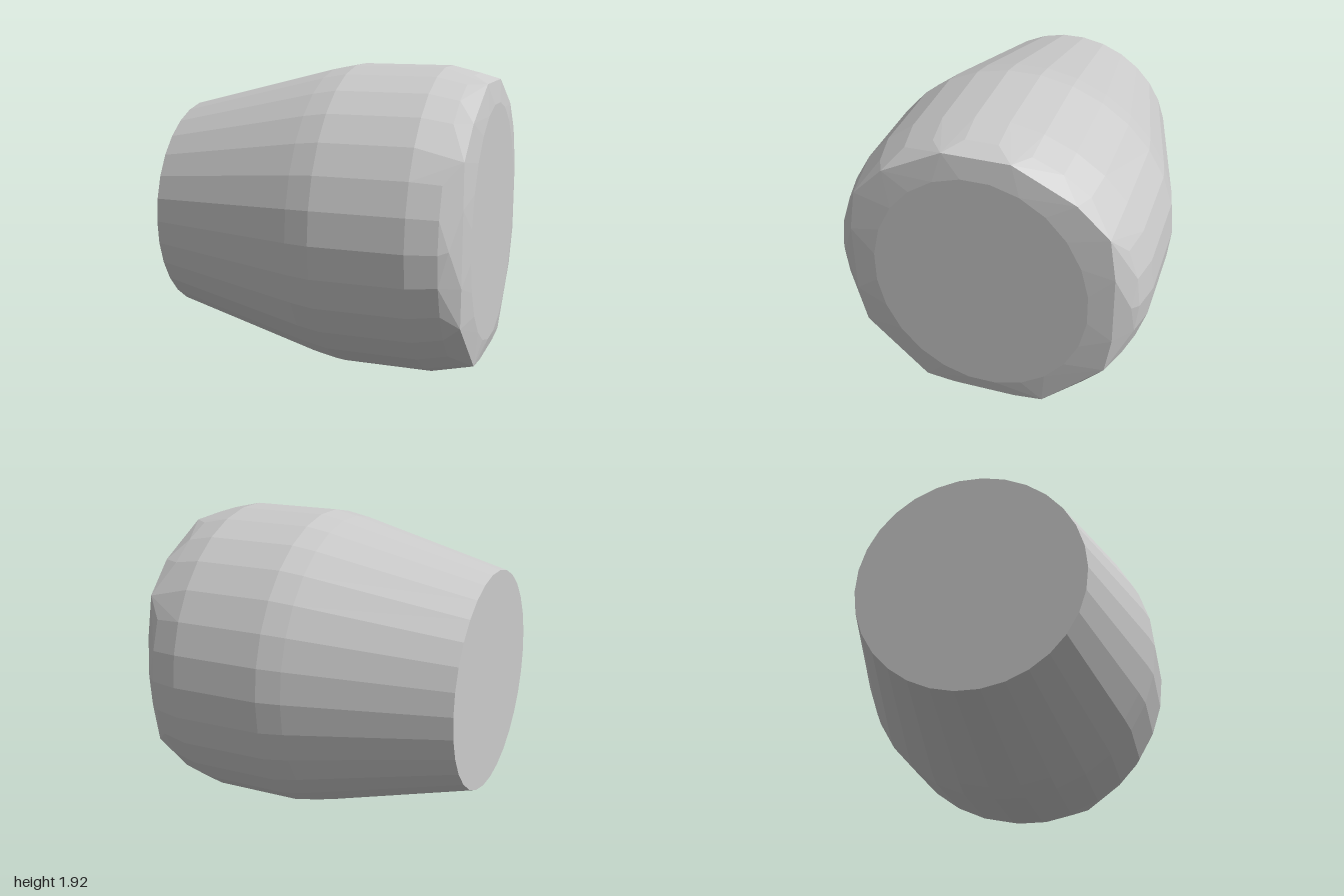
import * as THREE from 'three';
import { ConvexGeometry } from 'three/addons/geometries/ConvexGeometry.js';

const CENTRE_Y = 0.963;
const SIDES = 30;

// Ring of points around the x axis; a flat facet faces straight up and down
function ring(x, ry, rz = ry, sides = SIDES) {
  return Array.from({ length: sides }, (_, i) => {
    const a = ((i + 0.5) / sides) * Math.PI * 2;
    return new THREE.Vector3(x, CENTRE_Y + ry * Math.cos(a), rz * Math.sin(a));
  });
}

// Points mirrored from front to back
function mirrored(points) {
  return points.flatMap(([x, y, z]) => [new THREE.Vector3(x, y, z), new THREE.Vector3(x, y, -z)]);
}

export function createModel() {
  const model = new THREE.Group();
  model.name = 'taperedBarrel';

  const points = [
    // narrow end, taper, straight belly and rounded shoulder
    ...ring(-1, 0.687),
    ...ring(-0.03, 0.938),
    ...ring(0.12, 0.967),
    ...ring(0.69, 0.967),
    ...ring(0.87, 0.925),
    // faceted rim of the wide end
    ...mirrored([
      [0.975, 1.84, 0.2], [0.975, 1.65, 0.57], [0.97, 1.46, 0.76],
      [0.98, 1.2, 0.8], [0.925, 0.98, 0.89], [0.98, 0.75, 0.8],
      [0.97, 0.5, 0.76], [0.975, 0.14, 0.38], [0.975, 0.12, 0.2],
    ]),
    // slightly raised flat end face
    ...ring(1, 0.75, 0.66, 24),
  ];

  const body = new THREE.Mesh(
    new ConvexGeometry(points),
    new THREE.MeshStandardMaterial({ color: 0xcccccc, flatShading: true })
  );
  body.name = 'barrelBody';
  model.add(body);
  return model;
}
